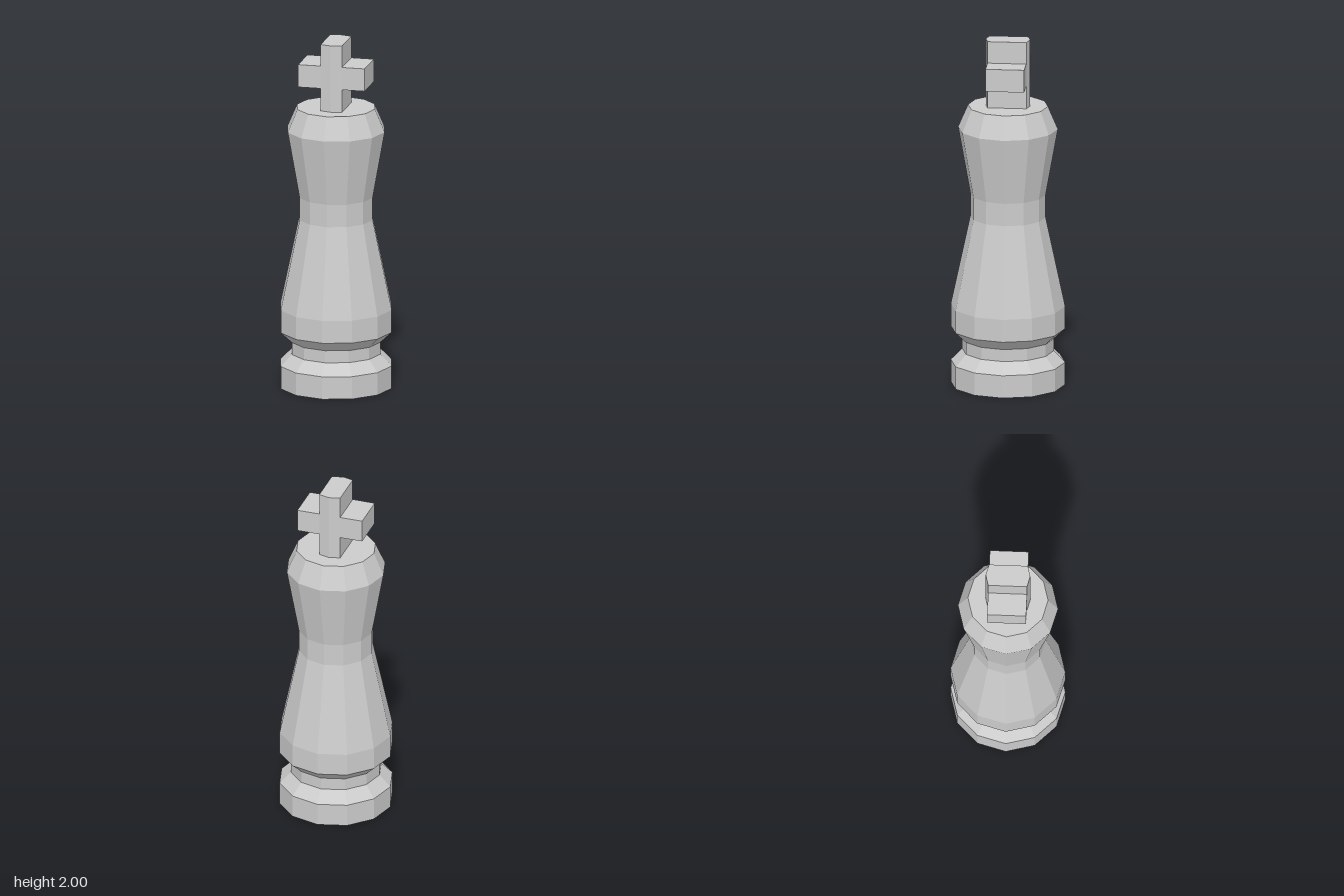
import * as THREE from 'three';

const material = new THREE.MeshStandardMaterial({ color: 0xcccccc, flatShading: true, side: THREE.DoubleSide });

function part(name, geometry) {
  const mesh = new THREE.Mesh(geometry, material);
  mesh.name = name;
  return mesh;
}

// Twelve-sided turned solid from [radius, height] pairs, bottom to top
function turned(profile) {
  return new THREE.LatheGeometry(profile.map(([r, y]) => new THREE.Vector2(r, y)), 12);
}

export function createModel() {
  const group = new THREE.Group();
  group.name = 'chessKing';

  // Foot, collar groove, waisted body and flat crown in one turned profile
  group.add(part('turnedBody', turned([
    [0, 0], [0.322, 0], [0.322, 0.13],
    [0.258, 0.195], [0.258, 0.265],
    [0.322, 0.325], [0.322, 0.455],
    [0.212, 0.97], [0.212, 1.1],
    [0.281, 1.485], [0.225, 1.615], [0, 1.615],
  ])));

  const cross = new THREE.Group();
  cross.name = 'cross';
  group.add(cross);

  // Upright with a shallow ridge on its front and back
  const w = 0.062, d = 0.109, ridge = 0.125;
  const plan = new THREE.Shape([
    [w, -d], [w, d], [0, ridge], [-w, d], [-w, -d], [0, -ridge],
  ].map(([x, y]) => new THREE.Vector2(x, y)));
  const upright = new THREE.ExtrudeGeometry(plan, { depth: 0.385, bevelEnabled: false });
  upright.rotateX(-Math.PI / 2).translate(0, 1.615, 0);
  cross.add(part('crossUpright', upright));

  // Mirrored side arms
  for (const side of [-1, 1]) {
    const arm = part(side > 0 ? 'crossArmLeft' : 'crossArmRight', new THREE.BoxGeometry(0.13, 0.13, 2 * d));
    arm.position.set(side * (w + 0.065), 1.81, 0);
    cross.add(arm);
  }

  return group;
}
